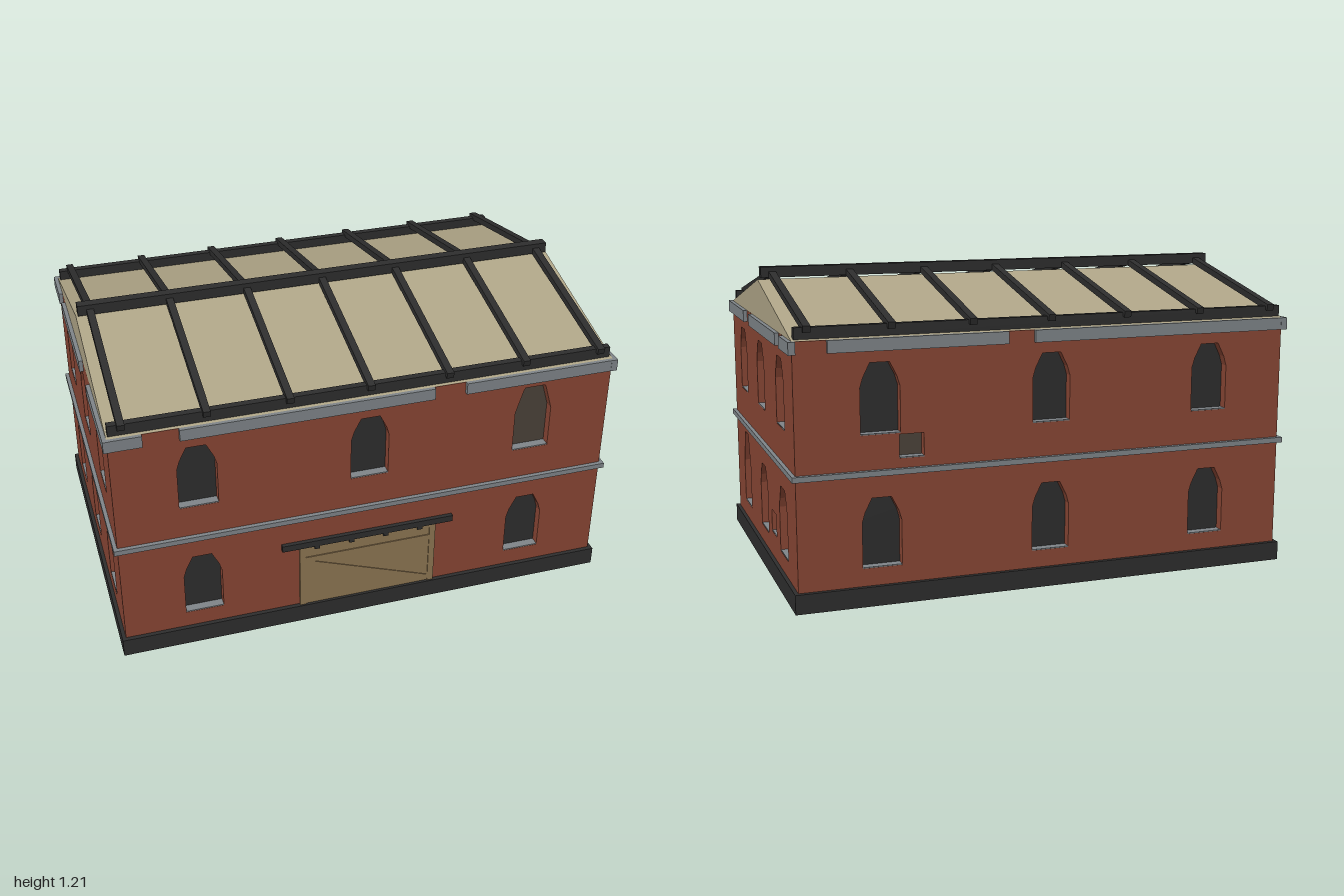
import * as THREE from 'three';

const mat = (name, color) => new THREE.MeshStandardMaterial({ name, color });

export function createModel() {
  const brick = mat('brick', 0x8a4735);
  const dark = mat('dark iron', 0x2e2e2e);
  const stone = mat('grey stone', 0x80868a);
  const roofTan = mat('roof tan', 0xb0a688);
  const wood = mat('door wood', 0x8f7753);
  const interior = mat('dim interior', 0x4c433a);

  const model = new THREE.Group();
  model.name = 'warehouse';

  const add = (parent, name, geometry, material, x = 0, y = 0, z = 0) => {
    const mesh = new THREE.Mesh(geometry, material);
    mesh.name = name;
    mesh.position.set(x, y, z);
    parent.add(mesh);
    return mesh;
  };
  // Box given by its extents
  const block = (parent, name, material, x0, x1, y0, y1, z0, z1) =>
    add(parent, name, new THREE.BoxGeometry(x1 - x0, y1 - y0, z1 - z0), material,
      (x0 + x1) / 2, (y0 + y1) / 2, (z0 + z1) / 2);

  // Opening outlines, relative to the bottom centre
  const mirrored = half => [...half, ...half.map(([x, y]) => [-x, y]).reverse()];
  const outlines = {
    arch: mirrored([[0.075, 0], [0.075, 0.175], [0.064, 0.212], [0.037, 0.266]]),
    broken: mirrored([[0.075, 0], [0.075, 0.18], [0.038, 0.3], [0.03, 0.315]]),
    brokenShort: mirrored([[0.075, 0], [0.075, 0.175], [0.045, 0.278], [0.04, 0.284]]),
    vent: mirrored([[0.047, 0], [0.047, 0.09]]),
  };

  const T = 0.04; // wall thickness

  // One wall, facing its local +z, with openings [kind, u, y] and cornice runs [u0, u1]
  function wall(name, angle, half, dist, openings, cornice) {
    const side = new THREE.Group();
    side.name = name;
    side.rotation.y = angle;
    model.add(side);

    const shape = new THREE.Shape([[-half, 0], [half, 0], [half, 1], [-half, 1]]
      .map(p => new THREE.Vector2(...p)));
    for (const [kind, u, y] of openings) {
      const points = outlines[kind].map(([a, b]) => new THREE.Vector2(u + a, y + b));
      shape.holes.push(new THREE.Path(points));
      add(side, kind + 'Pane', new THREE.ShapeGeometry(new THREE.Shape(points)),
        kind === 'arch' ? dark : interior, 0, 0, dist - T + 0.004);
      const w = outlines[kind][0][0];
      block(side, 'sill', stone, u - w, u + w, y - 0.002, y + 0.004, dist - T, dist - 0.001);
    }
    add(side, 'brickWall', new THREE.ExtrudeGeometry(shape, { depth: T, bevelEnabled: false }),
      brick, 0, 0, dist - T);
    for (const [a, b] of cornice)
      block(side, 'cornice', stone, a, b, 0.954, 1.001, dist - 0.01, dist + 0.016);
  }

  const row = (us, y) => us.map(u => ['arch', u, y]);
  const LOW = 0.143, HIGH = 0.645;
  const wide = [-0.667, 0, 0.667], narrow = [-0.4, 0, 0.4];

  wall('frontSide', 0, 0.985, 0.65,
    [...row([-0.667, 0], HIGH), ['brokenShort', 0.667, HIGH], ...row([-0.667, 0.667], LOW)],
    [[-1, -0.86], [-0.725, 0.25], [0.377, 1]]);
  wall('backSide', Math.PI, 0.985, 0.65,
    [...row(wide, HIGH), ...row(wide, LOW), ['vent', -0.55, 0.55]],
    [[-0.86, -0.175], [-0.07, 1]]);
  wall('leftSide', Math.PI / 2, 0.61, 0.985,
    [...row(narrow, HIGH), ['broken', -0.4, LOW], ...row([0, 0.4], LOW), ['vent', 0.2, 0.175]],
    [[-0.667, -0.28], [-0.16, 0.415], [0.485, 0.667]]);
  wall('rightSide', -Math.PI / 2, 0.61, 0.985,
    [...row(narrow, HIGH), ...row(narrow, LOW)],
    [[-0.667, -0.5], [-0.42, 0.08], [0.26, 0.667]]);

  // Plinth and belt course
  block(model, 'plinth', dark, -1, 1, 0, 0.075, -0.667, 0.667);
  block(model, 'beltCourse', stone, -1, 1, 0.493, 0.514, -0.667, 0.667);

  // Gabled roof
  const gable = new THREE.Shape([[-0.65, 1.001], [0.65, 1.001], [0, 1.156]]
    .map(p => new THREE.Vector2(...p)));
  const roof = add(model, 'roof',
    new THREE.ExtrudeGeometry(gable, { depth: 1.97, bevelEnabled: false }), roofTan, -0.985);
  roof.rotation.y = Math.PI / 2;

  // Roof frame: ridge, eave beams and rafters
  block(model, 'ridgeBeam', dark, -0.978, 0.975, 1.164, 1.206, -0.02, 0.02);
  const run = 0.655, rise = 0.137;
  const slope = Math.atan2(rise, run);
  for (const s of [-1, 1]) {
    const z = s * 0.626;
    block(model, 'eaveBeam', dark, -0.978, 0.975, 1.005, 1.048, z - 0.014, z + 0.014);
    for (let i = 0; i < 7; i++) {
      const rafter = add(model, 'rafter',
        new THREE.BoxGeometry(0.028, 0.025, Math.hypot(run, rise)), dark,
        -0.93 + i * 0.31, 1.111, s * run / 2);
      rafter.rotation.x = s * slope;
    }
  }

  // Sliding door with bracing, rail and hangers
  const door = new THREE.Group();
  door.name = 'slidingDoor';
  model.add(door);
  block(door, 'doorPanel', wood, -0.283, 0.281, 0.075, 0.368, 0.645, 0.656);
  block(door, 'doorTopBoard', wood, -0.283, 0.281, 0.285, 0.31, 0.655, 0.66);
  for (const x of [-0.283, 0.256])
    block(door, 'doorStile', wood, x, x + 0.025, 0.075, 0.368, 0.655, 0.66);
  const brace = add(door, 'doorBrace', new THREE.BoxGeometry(0.55, 0.025, 0.004), wood, 0, 0.187, 0.657);
  brace.rotation.z = -0.36;
  block(door, 'doorRail', dark, -0.354, 0.35, 0.363, 0.39, 0.645, 0.667);
  for (const x of [-0.213, -0.071, 0.071, 0.213])
    block(door, 'doorHanger', dark, x - 0.01, x + 0.01, 0.348, 0.365, 0.655, 0.664);

  return model;
}
